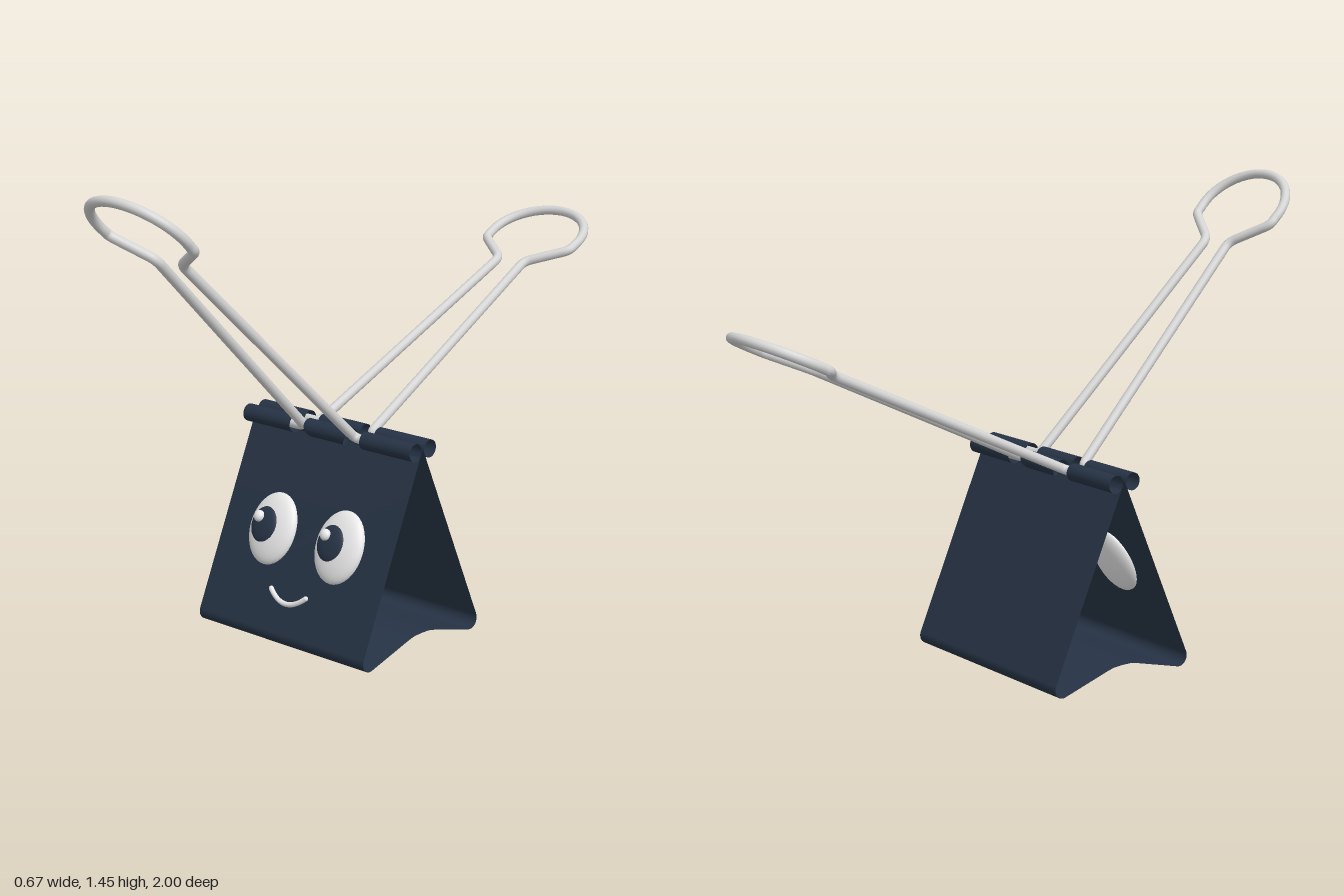
import * as THREE from 'three';

const TILT = THREE.MathUtils.degToRad(24); // lean of the side panels
const MID_Z = 0.104;                       // middle of the clip body
const HINGE = { u: 0.0325, y: 0.618, r: 0.027 };
const HALF_W = 0.335;

const navy = new THREE.MeshStandardMaterial({ name: 'navy steel', color: 0x263345, side: THREE.DoubleSide });
const silver = new THREE.MeshStandardMaterial({ name: 'silver wire', color: 0xd4d4d4 });
const white = new THREE.MeshStandardMaterial({ name: 'eye white', color: 0xeeeeee });

function add(parent, name, geometry, material) {
  const mesh = new THREE.Mesh(geometry, material);
  mesh.name = name;
  parent.add(mesh);
  return mesh;
}

// Thin sheet: a (z, y) profile swept along x; span(t) gives its x range
function sheet(profile, span) {
  const pos = [], index = [];
  profile.forEach(([z, y], i) => {
    const [a, b] = span(i / (profile.length - 1));
    pos.push(a, y, z, b, y, z);
    if (i) {
      const k = 2 * i;
      index.push(k - 2, k, k - 1, k - 1, k, k + 1);
    }
  });
  const g = new THREE.BufferGeometry();
  g.setAttribute('position', new THREE.Float32BufferAttribute(pos, 3));
  g.setIndex(index);
  g.computeVertexNormals();
  return g;
}

// Points on an arc, angles in degrees
function arc(cz, cy, r, from, to, n) {
  return Array.from({ length: n + 1 }, (_, i) => {
    const a = THREE.MathUtils.degToRad(from + (to - from) * i / n);
    return [cz + r * Math.cos(a), cy + r * Math.sin(a)];
  });
}

// Triangular spring body, open at both ends
function buildBody() {
  const body = new THREE.Group();
  body.name = 'body';
  const half = [
    [0.014, 0.593],
    ...arc(0.232, 0.03, 0.03, 24, -105, 12),
    [0.06, 0.047], [0.045, 0.0505], [0.03, 0.053],
  ];
  const mirrored = half.map(([u, y]) => [-u, y]).reverse();
  add(body, 'springSheet', sheet([...half, [0, 0.054], ...mirrored], () => [-HALF_W, HALF_W]), navy);

  // Rolled knuckles that hold the wire handles
  const curl = [[0.014, 0.593], ...arc(HINGE.u, HINGE.y, HINGE.r, 204, -140, 28)];
  for (const side of [1, -1]) {
    const profile = curl.map(([u, y]) => [u * side, y]);
    for (const s of [1, -1]) {
      const ends = [0.14 * s, HALF_W * s].sort((a, b) => a - b);
      add(body, 'outerKnuckle', sheet(profile, () => ends), navy);
    }
    const taper = t => 0.085 - 0.035 * THREE.MathUtils.smoothstep(t, 0.5, 1);
    add(body, 'middleKnuckle', sheet(profile, t => [-taper(t), taper(t)]), navy);
  }
  body.position.z = MID_Z;
  return body;
}

// Bent wire handle, drawn upright from its hinge
function buildHandle(name, side, angle) {
  const handle = new THREE.Group();
  handle.name = name;
  const loop = arc(0, 1.03, 1, -8, 90, 14).map(([c, s]) => [c * 0.17, 1.03 + (s - 1.03) * 0.147]);
  const right = [[0.18, 0], [0.102, 0], [0.05, 0.895], [0.168, 0.985], ...loop];
  const left = right.slice(0, -1).map(([x, y]) => [-x, y]).reverse();
  const pts = [...right, ...left].map(([x, y]) => new THREE.Vector3(x, y, 0));

  // Straight runs joined by small rounded bends
  const path = new THREE.CurvePath();
  let last = pts[0];
  for (let i = 1; i < pts.length - 1; i++) {
    const p = pts[i];
    const cut = q => p.clone().lerp(q, Math.min(0.45, 0.025 / p.distanceTo(q)));
    const a = cut(pts[i - 1]), b = cut(pts[i + 1]);
    path.add(new THREE.LineCurve3(last, a));
    path.add(new THREE.QuadraticBezierCurve3(a, p, b));
    last = b;
  }
  path.add(new THREE.LineCurve3(last, pts[pts.length - 1]));
  add(handle, 'wire', new THREE.TubeGeometry(path, 320, 0.015, 12), silver);
  for (const s of [1, -1]) {
    add(handle, 'wireEnd', new THREE.SphereGeometry(0.015, 12, 8), silver).position.x = 0.18 * s;
  }
  handle.position.set(0, HINGE.y, MID_Z + side * HINGE.u);
  handle.rotation.x = angle;
  return handle;
}

// Eyes and smile, laid out on the plane of the front panel
function buildFace() {
  const face = new THREE.Group();
  face.name = 'face';
  const ball = new THREE.SphereGeometry(1, 32, 20);
  const blob = (name, material, x, y, z, rx, ry, rz) => {
    const m = add(face, name, ball, material);
    m.position.set(x, y, z);
    m.scale.set(rx, ry, rz);
  };
  for (const x of [-0.135, 0.135]) {
    blob('eye', white, x, -0.323, 0, 0.09, 0.112, 0.033);
    blob('pupil', navy, x - 0.015, -0.319, 0.024, 0.053, 0.057, 0.016);
    blob('eyeGlint', white, x - 0.034, -0.298, 0.04, 0.018, 0.018, 0.014);
  }
  const smile = new THREE.QuadraticBezierCurve3(
    new THREE.Vector3(-0.07, -0.497, 0.01),
    new THREE.Vector3(0, -0.562, 0.01),
    new THREE.Vector3(0.07, -0.497, 0.01));
  add(face, 'smile', new THREE.TubeGeometry(smile, 24, 0.008, 8), white);
  for (const end of [smile.v0, smile.v2]) {
    add(face, 'smileEnd', new THREE.SphereGeometry(0.008, 8, 6), white).position.copy(end);
  }
  face.position.set(0, 0.607, MID_Z + 0.008);
  face.rotation.x = -TILT;
  return face;
}

export function createModel() {
  const model = new THREE.Group();
  model.name = 'binderClip';
  model.add(
    buildBody(),
    buildHandle('frontHandle', 1, 0.807),
    buildHandle('backHandle', -1, -1.121),
    buildFace());
  return model;
}
